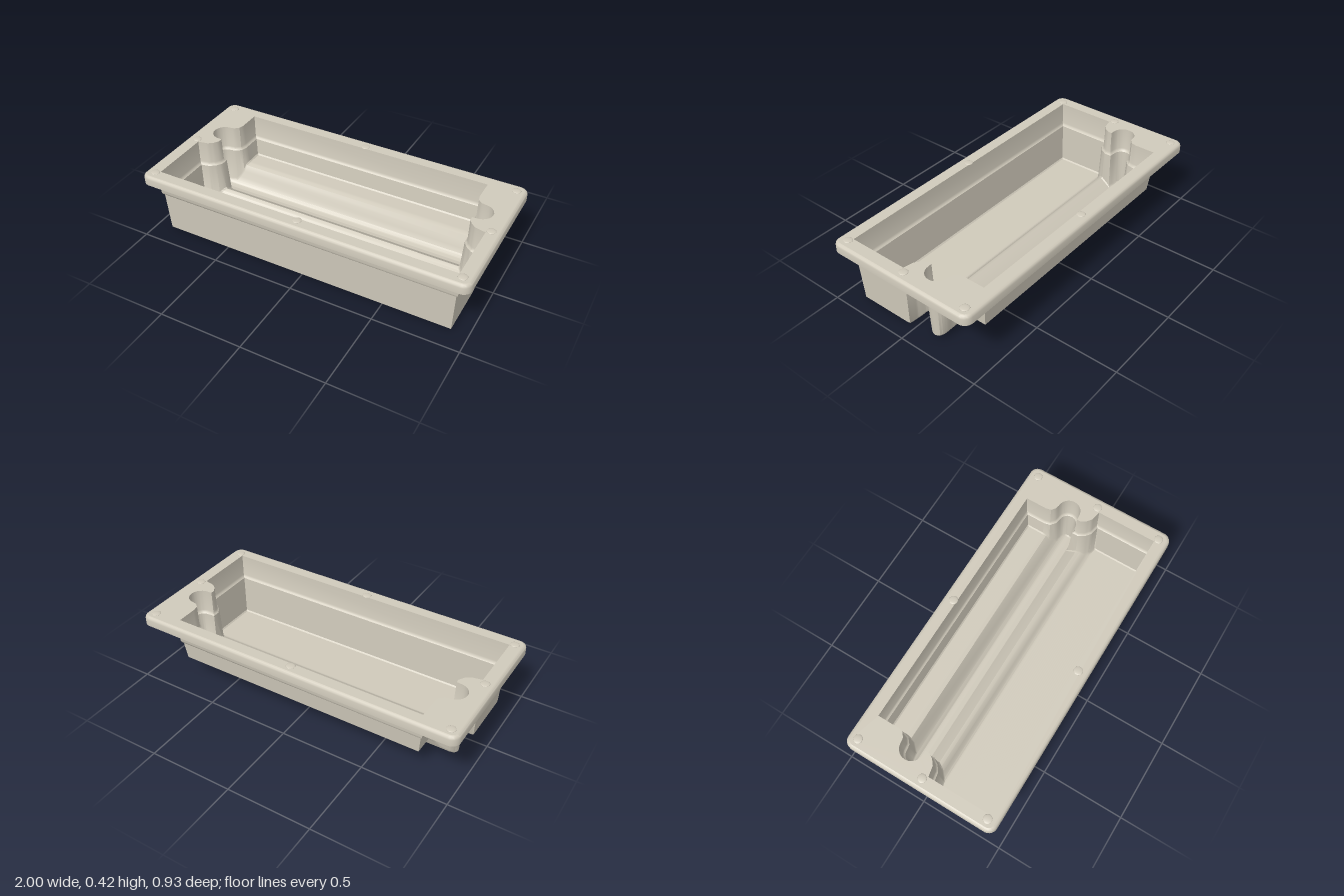
import * as THREE from 'three';
import { toCreasedNormals } from 'three/addons/utils/BufferGeometryUtils.js';

const plastic = new THREE.MeshStandardMaterial({ color: 0xd0cabb });
plastic.name = 'warm grey plastic';

// Right half of the tub outline (x, z), from the back corner to the front corner
const half = [[0.79, -0.4], [0.79, -0.26], [0.796, -0.235], [0.815, -0.219], [0.835, -0.215]];
for (let a = -80; a <= 80; a += 16) {
  const t = THREE.MathUtils.degToRad(a);
  half.push([0.835 + 0.08 * Math.cos(t), -0.135 + 0.08 * Math.sin(t)]);
}
half.push([0.82, -0.054], [0.82, -0.045], [0.835, -0.02], [0.86, 0], [0.928, 0.014], [0.928, 0.4]);

// Height of the floor from front to back (z, y)
const floorProfile = [[0.5, 0], [0.05, 0.003], [0.035, 0.008], [0.02, 0.022], [0, 0.05], [-0.02, 0.061],
  [-0.05, 0.07], [-0.065, 0.046], [-0.08, 0.028], [-0.1, 0.018], [-0.13, 0.014], [-0.155, 0.019],
  [-0.178, 0.034], [-0.195, 0.06], [-0.21, 0.095], [-0.225, 0.123], [-0.24, 0.134], [-0.26, 0.137], [-0.5, 0.14]];

function floorY(z) {
  for (let i = 1; i < floorProfile.length; i++) {
    const [z0, y0] = floorProfile[i - 1], [z1, y1] = floorProfile[i];
    if (z >= z1) return y0 + (y1 - y0) * (z0 - z) / (z0 - z1);
  }
  return 0.14;
}

// Outline moved inwards by d, then divided finely
function insetHalf(d) {
  const ext = [[0, -0.4], ...half, [0, 0.4]];
  const normal = (a, b) => {
    const l = Math.hypot(b[0] - a[0], b[1] - a[1]);
    return [-(b[1] - a[1]) / l, (b[0] - a[0]) / l];
  };
  const moved = half.map((p, i) => {
    const n = normal(ext[i], p), m = normal(p, ext[i + 2]);
    const k = d / Math.max(0.5, 1 + n[0] * m[0] + n[1] * m[1]);
    return [p[0] + (n[0] + m[0]) * k, p[1] + (n[1] + m[1]) * k];
  });
  const out = [moved[0]];
  for (let i = 1; i < half.length; i++) {
    const a = half[i - 1], b = half[i];
    const n = Math.ceil(Math.hypot(b[0] - a[0], b[1] - a[1]) / 0.015);
    for (let k = 1; k <= n; k++) {
      out.push([0, 1].map(c => moved[i - 1][c] + (moved[i][c] - moved[i - 1][c]) * k / n));
    }
  }
  return out;
}

const mirrored = pts => [...pts, ...pts.map(([x, z]) => [-x, z]).reverse()];
const ring = (pts, height) => pts.map(([x, z]) => [x, height(z), z]);

// Skin joining closed rings; with a floor, a ring of mirrored pairs is filled across
function loft(rings, floorRing, floorUp) {
  const pos = [];
  const quad = (a, b, c, d) => pos.push(...a, ...b, ...c, ...b, ...d, ...c);
  for (let r = 0; r + 1 < rings.length; r++) {
    const p = rings[r], q = rings[r + 1], n = p.length;
    for (let i = 0; i < n; i++) quad(p[i], p[(i + 1) % n], q[i], q[(i + 1) % n]);
  }
  if (floorRing) {
    const n = floorRing.length;
    for (let i = 0; i + 1 < n / 2; i++) {
      const a = floorRing[i], b = floorRing[i + 1], c = floorRing[n - 1 - i], d = floorRing[n - 2 - i];
      if (floorUp) quad(a, c, b, d); else quad(a, b, c, d);
    }
  }
  const g = new THREE.BufferGeometry();
  g.setAttribute('position', new THREE.Float32BufferAttribute(pos, 3));
  return toCreasedNormals(g, 0.6);
}

// Rounded rectangle of the rim, inset by d
function rimOutline(d) {
  const pts = [], r = 0.05, cx = 1 - r, cz = 0.467 - r;
  [[1, -1, -90], [1, 1, 0], [-1, 1, 90], [-1, -1, 180]].forEach(([sx, sz, start]) => {
    for (let k = 0; k <= 8; k++) {
      const t = THREE.MathUtils.degToRad(start + k * 11.25);
      pts.push([sx * cx + (r - d) * Math.cos(t), sz * cz + (r - d) * Math.sin(t)]);
    }
  });
  return pts;
}

// Flat sheet between an outer outline and a hole
function sheet(outer, hole, y, up) {
  const s = up ? -1 : 1;
  const v = pts => pts.map(([x, z]) => new THREE.Vector2(x, s * z));
  const shape = new THREE.Shape(v(outer));
  shape.holes.push(new THREE.Path(v(hole)));
  return new THREE.ShapeGeometry(shape).rotateX(s * Math.PI / 2).translate(0, y, 0);
}

export function createModel() {
  const model = new THREE.Group();
  model.name = 'moulded tray';
  const add = (name, geometry) => {
    const mesh = new THREE.Mesh(geometry, plastic);
    mesh.name = name;
    model.add(mesh);
    return mesh;
  };

  // Tub: stepped upper band, tapering lower wall, rounded foot
  const wall = 0.012, top = 0.413, under = 0.398;
  const levels = t => [
    [0, () => (t ? top : under)],
    [0.003, () => 0.272 + t / 2],
    [0.007, () => 0.259 + t / 2],
    [0.015, () => 0.252 + t / 2],
    [0.026, z => floorY(z) + 0.008 + t],
    [0.033, z => floorY(z) + t],
  ].map(([d, h]) => ring(mirrored(insetHalf(d + t)), h));
  const outer = levels(0), inner = levels(wall);
  add('tub outside', loft(outer, outer[5], false));
  add('tub inside', loft(inner.slice().reverse(), inner[5], true));

  // Rim: rounded skirt, hollow underneath
  const skirt = [[0.018, top], [0.009, 0.41], [0.003, 0.404], [0, 0.394], [0, 0.355], [0.015, 0.355], [0.015, under]];
  add('rim skirt', loft(skirt.map(([d, y]) => ring(rimOutline(d), () => y))));
  add('rim top', sheet(rimOutline(0.018), mirrored(insetHalf(wall)), top, true));
  add('rim underside', sheet(rimOutline(0.015), mirrored(insetHalf(0)), under, false));

  // Low round studs on the rim
  const stud = new THREE.SphereGeometry(0.026, 20, 6, 0, Math.PI * 2, 0, Math.PI / 2).scale(1, 0.2, 1);
  const spots = [[0, -0.408], [0, 0.405]];
  for (const x of [-0.94, 0.94]) for (const z of [-0.408, 0, 0.405]) spots.push([x, z]);
  spots.forEach(([x, z]) => add('rim stud', stud).position.set(x, top, z));

  return model;
}
